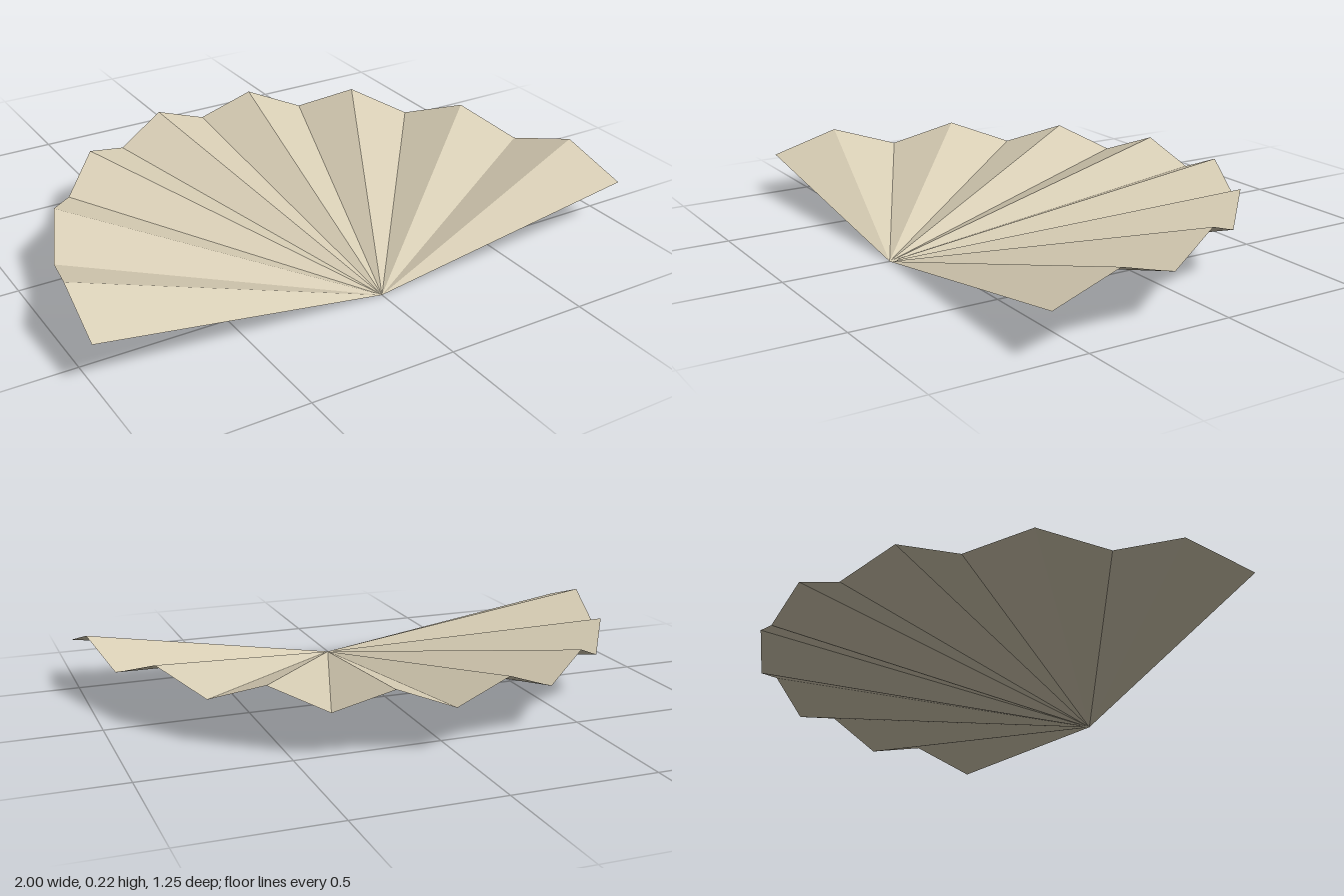
import * as THREE from 'three';

const PLEATS = 16;          // flat facets between fold lines
const RX = 1, RZ = 1.245;   // rim radii across and front-to-back
const VALLEY = 0.15, RIDGE = 0.225;

export function createModel() {
  const group = new THREE.Group();
  group.name = 'pleatedFan';

  const paper = new THREE.MeshStandardMaterial({ color: 0xd8ceb5, side: THREE.DoubleSide, flatShading: true });
  paper.name = 'beige paper';

  // Rim points run left to right around the back, alternating valley and ridge
  const pivot = [0, 0, RZ / 2];
  const rim = (i) => {
    const a = (i / PLEATS) * Math.PI;
    return [RX * Math.cos(a), i % 2 ? RIDGE : VALLEY, RZ / 2 - RZ * Math.sin(a)];
  };

  // One triangular facet per pleat, facing upwards
  const points = [];
  for (let i = 0; i < PLEATS; i++) points.push(...pivot, ...rim(i), ...rim(i + 1));

  const geometry = new THREE.BufferGeometry();
  geometry.setAttribute('position', new THREE.Float32BufferAttribute(points, 3));
  geometry.computeVertexNormals();

  const leaf = new THREE.Mesh(geometry, paper);
  leaf.name = 'foldedLeaf';
  group.add(leaf);
  return group;
}
